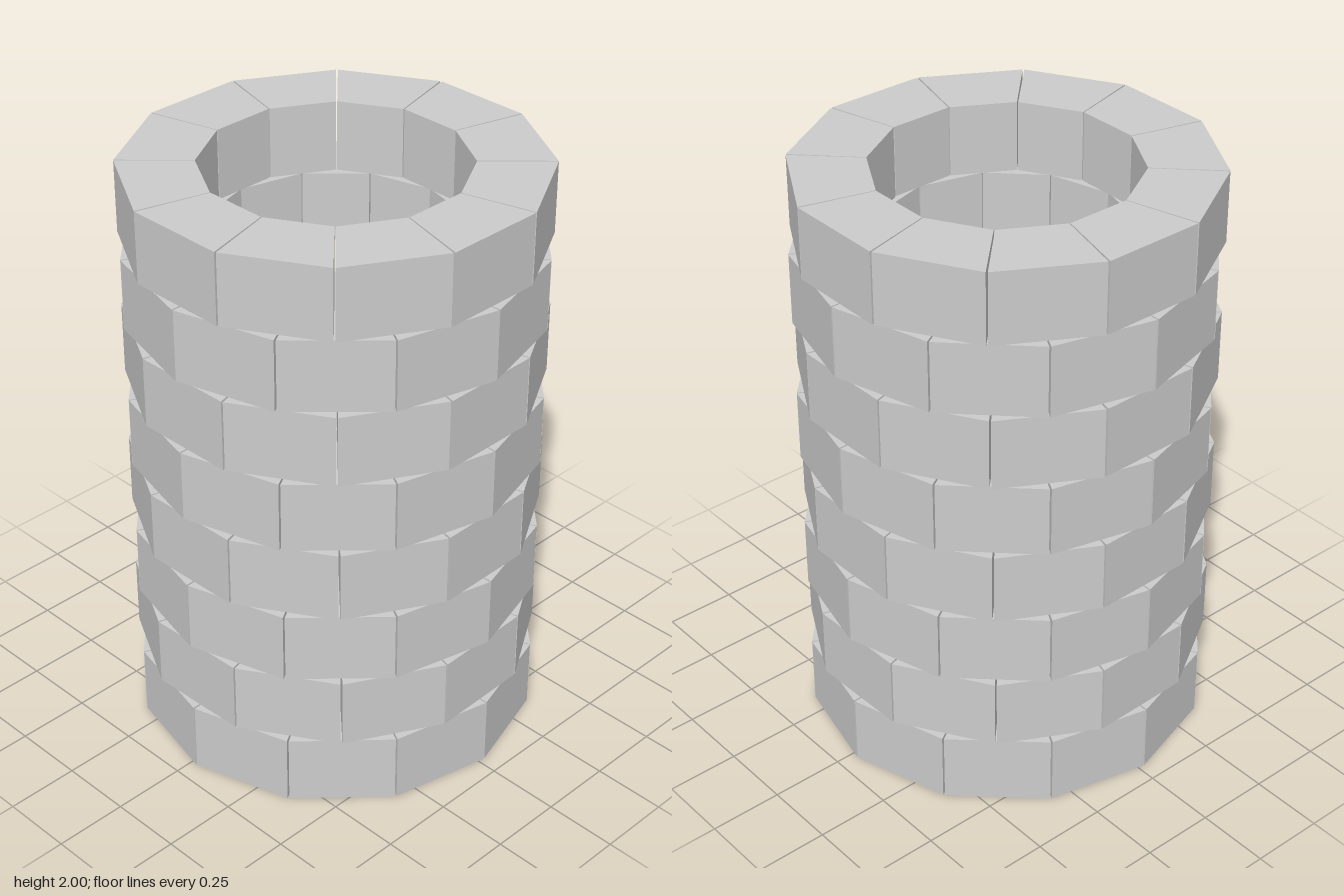
import * as THREE from 'three';

const COURSES = 8, BLOCKS = 12;
const OUTER = 0.684, INNER = 0.433;
const HEIGHT = 0.244, PITCH = (2 - HEIGHT) / (COURSES - 1);
const STEP = (Math.PI * 2) / BLOCKS;
const JOINT = THREE.MathUtils.degToRad(0.5); // open joint between neighbours

// One wedge-shaped block with flat inner and outer faces, centred on +z
function blockGeometry() {
  const half = (STEP - JOINT) / 2;
  const s = Math.sin(half), c = Math.cos(half);
  const shape = new THREE.Shape([
    new THREE.Vector2(-OUTER * s, -OUTER * c),
    new THREE.Vector2(OUTER * s, -OUTER * c),
    new THREE.Vector2(INNER * s, -INNER * c),
    new THREE.Vector2(-INNER * s, -INNER * c),
  ]);
  return new THREE.ExtrudeGeometry(shape, { depth: HEIGHT, bevelEnabled: false })
    .rotateX(-Math.PI / 2);
}

export function createModel() {
  const stone = new THREE.MeshStandardMaterial({ color: 0xcccccc, flatShading: true });
  stone.name = 'stone grey';
  const geometry = blockGeometry();

  const tower = new THREE.Group();
  tower.name = 'blockTower';

  // Stacked rings in running bond, each drifting slightly from the one below
  for (let i = 0; i < COURSES; i++) {
    const course = new THREE.Group();
    course.name = `course${i + 1}`;
    course.position.y = i * PITCH;
    const drift = THREE.MathUtils.degToRad(1.85 - 0.3 * i);
    const bond = i % 2 === 0 ? STEP / 2 : 0;
    course.rotation.y = drift + bond;

    for (let j = 0; j < BLOCKS; j++) {
      const block = new THREE.Mesh(geometry, stone);
      block.name = `block${j + 1}`;
      block.rotation.y = j * STEP;
      course.add(block);
    }
    tower.add(course);
  }
  return tower;
}
